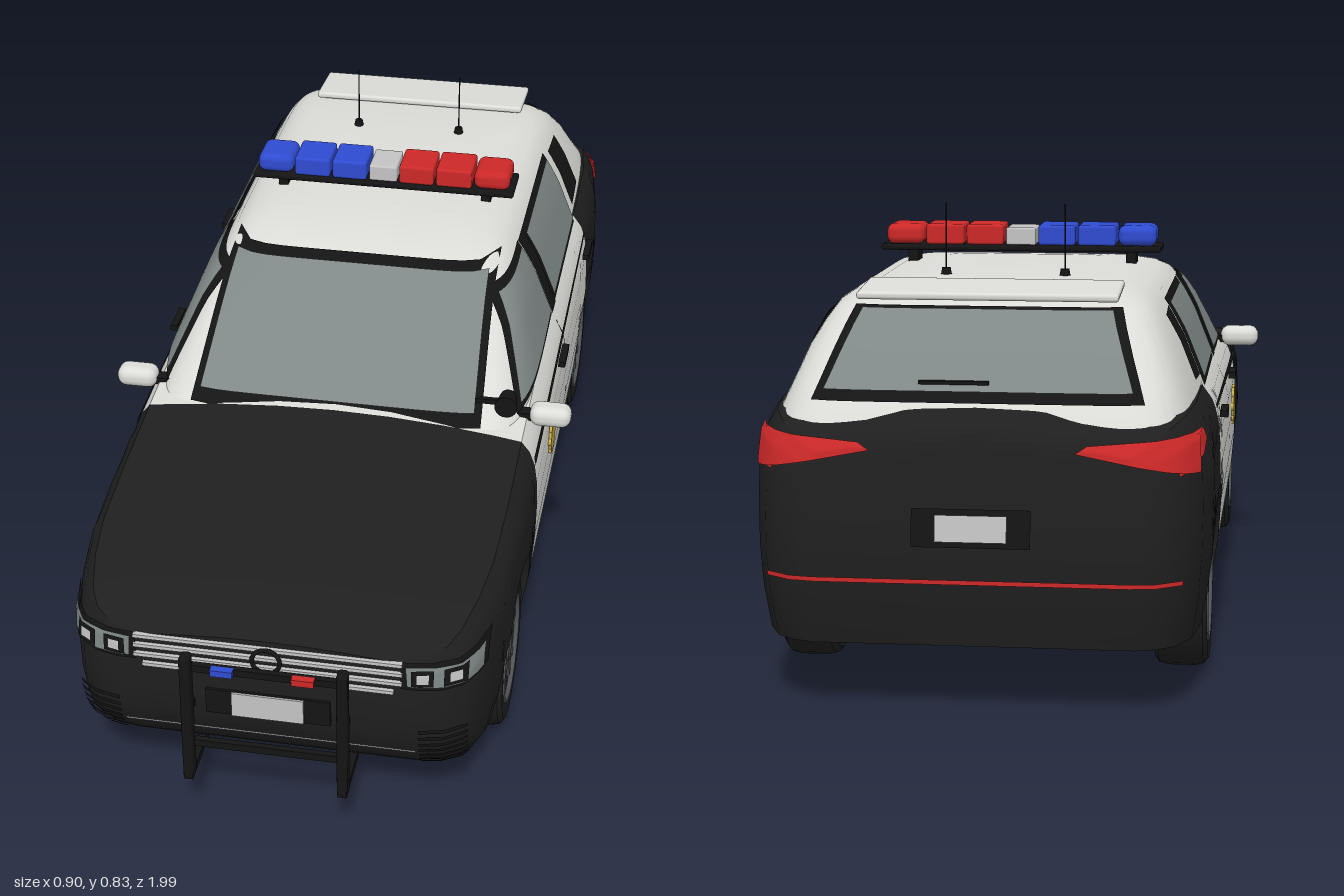
import * as THREE from 'three';
import { toCreasedNormals } from 'three/addons/utils/BufferGeometryUtils.js';
import { RoundedBoxGeometry } from 'three/addons/geometries/RoundedBoxGeometry.js';

const mat = (name, color) => new THREE.MeshStandardMaterial({ name, color, side: THREE.DoubleSide });
const M = {
  black: mat('black paint', 0x1f1f1f), white: mat('white paint', 0xdcdcd8), trim: mat('dark trim', 0x141414),
  glass: mat('glass', 0x7f8787), blue: mat('blue lens', 0x2f4bd0), red: mat('red lens', 0xcc2828),
  gold: mat('gold badge', 0xc9ad48), silver: mat('silver', 0xc4c4c4), rim: mat('wheel grey', 0x505357),
};

// piecewise-linear table lookup: rows are [key, value, value...], keys ascending
const look = (rows, k, col = 1) => {
  if (k <= rows[0][0]) return rows[0][col];
  for (let i = 1; i < rows.length; i++) if (k <= rows[i][0]) {
    const a = rows[i - 1], b = rows[i];
    return a[col] + (b[col] - a[col]) * (k - a[0]) / (b[0] - a[0]);
  }
  return rows[rows.length - 1][col];
};

// lower body: z, half width, shoulder height, centre height
const BODY = [[-.985, .29, .45, .47], [-.97, .33, .475, .5], [-.94, .36, .49, .52], [-.88, .385, .505, .53],
  [-.75, .4, .51, .53], [-.5, .402, .505, .515], [.2, .402, .485, .51], [.35, .402, .475, .505], [.55, .402, .455, .475],
  [.7, .398, .442, .46], [.8, .385, .432, .45], [.88, .365, .42, .435], [.92, .345, .41, .425], [.945, .31, .395, .41], [.955, .27, .385, .4]];
const FLANK = [[0, .95], [.2, .98], [.5, 1], [.8, .99], [.92, .965], [1, .91]];
const BASE = .12, ARCH = .178, AXLES = [-.59, .57];

function bodyHalf(z, y) {
  const w = look(BODY, z), s = look(BODY, z, 2), d = look(BODY, z, 3);
  if (y <= s) return w * look(FLANK, (y - BASE) / (s - BASE));
  return w * .91 * Math.sqrt(Math.max(0, 1 - (y - s) / (d - s)));
}
// chin tucks back at the front, tailgate leans forward at the rear
function lean(x, y, z) {
  if (z > .76) z -= .065 * Math.max(0, (.24 - y) / .12) ** 2 * (z - .76) / .195;
  if (z < -.78) z += (Math.max(0, y - .3) * .12 + Math.max(0, .22 - y) * .2) * (-.78 - z) / .2;
  return [x, y, z];
}
// cabin: y, front z, rear z, half width
const CABIN = [[.46, .4, -.95, .375], [.5, .335, -.935, .365], [.55, .26, -.885, .345], [.6, .185, -.84, .325],
  [.64, .12, -.795, .303], [.67, .055, -.745, .283], [.685, 0, -.69, .26], [.695, -.06, -.62, .228], [.7, -.13, -.5, .16], [.702, -.27, -.36, 0]];
const cabinAt = (y) => {
  const f = look(CABIN, y), r = look(CABIN, y, 2);
  return { c: (f + r) / 2, l: (f - r) / 2, w: look(CABIN, y, 3) };
};
const round8 = (u) => Math.max(0, 1 - Math.min(1, Math.abs(u)) ** 8) ** .125;

// surface mappers: (u, v, offset) -> point
const bodySide = (s) => (z, y, e) => lean(s * (bodyHalf(z, y) + e), y, z);
const bodyEnd = (dir) => (x, y, e) => {
  let a = 0, b = dir > 0 ? .955 : -.985;
  if (bodyHalf(b, y) < Math.abs(x)) {
    for (let i = 0; i < 30; i++) { const m = (a + b) / 2; if (bodyHalf(m, y) > Math.abs(x)) a = m; else b = m; }
  }
  const p = lean(x, y, b);
  return [p[0] + e * x / .4, y, p[2] + e * dir];
};
const cabinSide = (s) => (z, y, e) => { const k = cabinAt(y); return [s * (k.w * round8((z - k.c) / k.l) + e), y + e * .4, z]; };
const cabinEnd = (dir) => (x, y, e) => { const k = cabinAt(y); return [x, y + e * .7, k.c + dir * (k.l * round8(x / k.w) + e)]; };

// loft through rings; colourOf(i, j) returns a material index
function loft(rings, mats, colourOf) {
  const n = rings[0].length, lists = mats.map(() => []);
  for (let i = 0; i < rings.length - 1; i++) for (let j = 0; j < n; j++) {
    const a = i * n + j, b = i * n + (j + 1) % n;
    lists[colourOf(i, j)].push(a, b, b + n, a, b + n, a + n);
  }
  const g = new THREE.BufferGeometry();
  g.setAttribute('position', new THREE.Float32BufferAttribute(rings.flat(2), 3));
  g.setIndex(lists.flat());
  let at = 0;
  lists.forEach((l, k) => { g.addGroup(at, l.length, k); at += l.length; });
  return new THREE.Mesh(toCreasedNormals(g, .6), mats);
}

export function createModel() {
  const car = new THREE.Group();
  car.name = 'patrolCar';
  const put = (name, geo, m, x = 0, y = 0, z = 0, parent = car) => {
    const o = new THREE.Mesh(geo, m);
    o.name = name; o.position.set(x, y, z); parent.add(o);
    return o;
  };
  const box = (name, m, w, h, d, x, y, z, parent) => put(name, new THREE.BoxGeometry(w, h, d), m, x, y, z, parent);
  // thin plate that follows a surface; corners run bottom, bottom, top, top
  const plate = (name, m, map, [p, q, r, s], e = .004) => {
    const g = new THREE.PlaneGeometry(1, 1, 16, 10), pos = g.attributes.position;
    for (let i = 0; i < pos.count; i++) {
      const u = pos.getX(i) + .5, v = pos.getY(i) + .5;
      const c = [0, 1].map((k) => (p[k] * (1 - u) + q[k] * u) * (1 - v) + (s[k] * (1 - u) + r[k] * u) * v);
      pos.setXYZ(i, ...map(c[0], c[1], e));
    }
    g.computeVertexNormals();
    return put(name, g, m);
  };
  const rect = (u0, u1, v0, v1) => [[u0, v0], [u1, v0], [u1, v1], [u0, v1]];

  // lower body with wheel wells
  const stations = BODY.map((r) => r[0]).concat([-.53, -.3, -.1, .1, .355]);
  for (const c of AXLES) {
    stations.push(c - ARCH - .001, c + ARCH + .001);
    for (let k = 0; k <= 16; k++) stations.push(c - ARCH * Math.cos(k * Math.PI / 16));
  }
  stations.sort((a, b) => a - b);
  const rows = [0, .06, .2, .4, .6, .75, .86, .94, 1], tops = [.85, .6, .3, 0];
  const rings = stations.map((z) => {
    let b = BASE;
    for (const c of AXLES) if (Math.abs(z - c) <= ARCH + .0001) b = .15 + Math.sqrt(Math.max(0, ARCH ** 2 - (z - c) ** 2));
    const s = look(BODY, z, 2), d = look(BODY, z, 3), xs = bodyHalf(z, s);
    const half = [[0, BASE], [.26, BASE], [.26, b]];
    for (const t of rows) { const y = b + (s - b) * t; half.push([bodyHalf(z, y), y]); }
    for (const t of tops) half.push([xs * t, s + (d - s) * (1 - t * t)]);
    const back = half.slice(1, -1).reverse().map(([x, y]) => [-x, y]);
    return half.concat(back).map(([x, y]) => lean(x, y, z));
  });
  const flat = (ring) => ring.map(([, y, z]) => [0, y, z]);
  const n = rings[0].length, all = [flat(rings[0]), ...rings, flat(rings[rings.length - 1])];
  const body = loft(all, [M.black, M.white], (i, j) => {
    if (i < 1 || i >= stations.length) return 0;
    const z = (stations[i - 1] + stations[i]) / 2, k = Math.min(j, n - 1 - j);
    if (k === 0) return z > -.41 && z < .39 ? 1 : 0;
    return k >= 4 && z > -.53 && z < .355 ? 1 : 0;
  });
  body.name = 'lowerBody'; car.add(body);

  // cabin shell
  const cabin = loft(CABIN.map(([y]) => {
    const { c, l, w } = cabinAt(y), pw = (v) => Math.sign(v) * Math.abs(v) ** .25;
    return Array.from({ length: 96 }, (_, j) => {
      const a = j / 96 * Math.PI * 2;
      return [w * pw(Math.cos(a)), y, c - l * pw(Math.sin(a))];
    });
  }), [M.white], () => 0);
  cabin.name = 'cabin'; car.add(cabin);

  // windscreen and rear window
  plate('windscreenFrame', M.trim, cabinEnd(1), [[-.285, .488], [.285, .488], [.268, .676], [-.268, .676]]);
  plate('windscreen', M.glass, cabinEnd(1), [[-.27, .505], [.27, .505], [.255, .667], [-.255, .667]], .008);
  plate('rearWindowFrame', M.trim, cabinEnd(-1), [[-.285, .525], [.285, .525], [.235, .67], [-.235, .67]]);
  plate('rearWindow', M.glass, cabinEnd(-1), [[-.265, .54], [.265, .54], [.22, .664], [-.22, .664]], .008);
  box('rearWiper', M.trim, .12, .006, .01, .04, .56, -.895);

  for (const s of [1, -1]) {
    // side windows and pillars
    const cs = cabinSide(s), bs = bodySide(s);
    plate('frontWindowFrame', M.trim, cs, [[.285, .49], [-.1, .5], [-.1, .662], [.085, .652]]);
    plate('frontWindow', M.glass, cs, [[.262, .5], [-.09, .51], [-.09, .652], [.085, .642]], .008);
    plate('centrePillar', M.trim, cs, rect(-.098, -.15, .5, .662), .006);
    plate('rearWindowSideFrame', M.trim, cs, rect(-.14, -.512, .5, .66));
    plate('rearSideWindow', M.glass, cs, rect(-.155, -.5, .512, .65), .008);
    plate('quarterWindow', M.trim, cs, [[-.54, .525], [-.645, .53], [-.635, .645], [-.54, .65]], .006);
    // door details
    plate('doorSeam', M.trim, bs, rect(-.108, -.113, .145, .48), .002);
    plate('beltLine', M.trim, bs, [[.355, .425], [-.53, .462], [-.53, .47], [.355, .44]], .002);
    for (const z of [-.02, -.48]) box('doorHandle', M.trim, .014, .012, .075, s * .405, .45, z);
    const badge = put('doorBadge', new THREE.CylinderGeometry(.037, .037, .006, 16), M.gold, s * .403, .36, .135);
    badge.rotation.z = Math.PI / 2;
    for (let k = 0; k < 8; k++) {
      const a = k * Math.PI / 4;
      const tip = put('badgeTip', new THREE.CylinderGeometry(.008, .008, .006, 10), M.gold, s * .403, .36 + .034 * Math.sin(a), .135 + .034 * Math.cos(a));
      tip.rotation.z = Math.PI / 2;
    }
    // mirrors
    box('mirrorStem', M.trim, .06, .015, .025, s * .375, .482, .265);
    put('mirror', new RoundedBoxGeometry(.08, .042, .05, 4, .019), M.white, s * .411, .488, .268);
    // headlights, intakes and tail lights
    const f = bodyEnd(1), r = bodyEnd(-1), X = (pts) => pts.map(([x, y]) => [s * x, y]);
    plate('headlightSurround', M.trim, f, X([[.235, .334], [.372, .332], [.374, .388], [.235, .39]]), .003);
    plate('headlight', M.glass, f, X([[.245, .342], [.366, .34], [.366, .38], [.242, .384]]), .006);
    for (const x of [.27, .325]) {
      plate('lampSurround', M.trim, f, X(rect(x - .019, x + .019, .345, .378)), .008);
      plate('lamp', M.silver, f, X(rect(x - .01, x + .01, .352, .371)), .0095);
    }
    for (let k = 0; k < 7; k++) plate('intakeSlat', M.trim, f, X(rect(.265, .345, .145 + k * .016, .153 + k * .016)), .007);
    plate('tailLightRear', M.red, r, X([[.17, .455], [.375, .415], [.372, .482], [.19, .468]]), .006);
    plate('tailLightSide', M.red, bs, [[-.825, .462], [-.955, .415], [-.955, .468], [-.84, .482]], .006);
    // roof aerials
    put('aerialBase', new THREE.CylinderGeometry(.008, .01, .012, 12), M.trim, s * .11, .706, -.5);
    put('aerial', new THREE.CylinderGeometry(.0015, .0015, .125, 6), M.trim, s * .11, .768, -.5);
    // push bar uprights
    put('pushBarUpright', new RoundedBoxGeometry(.02, .27, .028, 2, .006), M.trim, s * .14, .24, .985);
    box('pushBarFoot', M.trim, .016, .014, .12, s * .14, .112, .938);
    box('pushBarBracket', M.trim, .014, .014, .05, s * .14, .25, .96);
  }

  // grille, plates and bumper lines
  for (let k = 0; k < 4; k++) {
    const w = k ? .24 : .225;
    box('grilleBar', M.silver, w * 2, .007, .012, 0, .326 + k * .02, .957);
  }
  plate('bumperLine', M.silver, bodyEnd(1), rect(-.26, .26, .187, .193), .006);
  put('grilleRing', new THREE.TorusGeometry(.025, .004, 8, 24), M.trim, 0, .365, .966);
  box('frontPlateHolder', M.trim, .225, .052, .006, 0, .259, .957);
  box('frontPlate', M.silver, .13, .05, .006, 0, .259, .961);
  plate('rearPlateHolder', M.trim, bodyEnd(-1), rect(-.1, .1, .295, .36), .003);
  plate('rearPlate', M.silver, bodyEnd(-1), rect(-.06, .06, .305, .35), .006);
  plate('rearReflector', M.red, bodyEnd(-1), rect(-.35, .35, .232, .24), .005);
  // push bar cross members and their small lamps
  for (const y of [.345, .178]) box('pushBarCross', M.trim, .28, .014, .012, 0, y, .977);
  box('grilleLampBlue', M.blue, .04, .013, .014, -.075, .346, .985);
  box('grilleLampRed', M.red, .04, .013, .014, .07, .346, .985);

  // spotlight beside the left windscreen pillar
  box('spotlightArm', M.trim, .06, .01, .01, .3, .537, .318);
  const spot = put('spotlight', new THREE.CylinderGeometry(.022, .016, .04, 20), M.trim, .333, .546, .332);
  spot.rotation.x = Math.PI / 2;

  // roof spoiler
  const spoiler = put('spoiler', new RoundedBoxGeometry(.46, .014, .14, 3, .006), M.white, 0, .696, -.7);
  spoiler.rotation.x = -.08;

  // light bar
  const bar = new THREE.Group();
  bar.name = 'lightBar'; bar.position.set(0, 0, -.22); car.add(bar);
  put('lightBarBase', new RoundedBoxGeometry(.545, .012, .1, 2, .005), M.trim, 0, .725, 0, bar);
  for (const s of [1, -1]) {
    const m = s > 0 ? M.red : M.blue;
    box('lightBarFoot', M.trim, .02, .04, .05, s * .213, .705, 0, bar);
    put('innerLens', new RoundedBoxGeometry(.072, .04, .088, 3, .006), m, s * .07, .75, 0, bar);
    put('middleLens', new RoundedBoxGeometry(.074, .04, .088, 3, .006), m, s * .148, .75, 0, bar);
    put('endLens', new RoundedBoxGeometry(.074, .04, .088, 4, .015), m, s * .226, .75, 0, bar);
  }
  put('centreLens', new RoundedBoxGeometry(.058, .034, .08, 2, .004), M.silver, 0, .747, 0, bar);

  // wheels, outer face towards +x before turning
  const tyre = [[.098, -.046], [.135, -.048], [.146, -.04], [.15, -.024], [.15, .024], [.146, .04], [.135, .048], [.106, .046], [.102, .02], [.098, -.046]];
  for (const z of AXLES) for (const s of [1, -1]) {
    const w = new THREE.Group();
    w.name = (z > 0 ? 'front' : 'rear') + (s > 0 ? 'Left' : 'Right') + 'Wheel';
    w.position.set(s * .338, .15, z);
    if (s < 0) w.rotation.y = Math.PI;
    car.add(w);
    const disc = (name, m, r, h, x) => { put(name, new THREE.CylinderGeometry(r, r, h, 32), m, x, 0, 0, w).rotation.z = -Math.PI / 2; };
    const t = toCreasedNormals(new THREE.LatheGeometry(tyre.map(([r, h]) => new THREE.Vector2(r, h)), 40), .6);
    put('tyre', t, M.black, 0, 0, 0, w).rotation.z = -Math.PI / 2;
    put('rimRing', new THREE.TorusGeometry(.103, .005, 8, 40), M.rim, .044, 0, 0, w).rotation.y = Math.PI / 2;
    disc('wheelBack', M.trim, .101, .03, 0);
    disc('brakeDisc', M.silver, .075, .01, -.02);
    disc('hub', M.rim, .026, .03, .03);
    for (let k = 0; k < 10; k++) {
      const arm = new THREE.Group();
      arm.rotation.x = (Math.floor(k / 2) + (k % 2 ? .17 : -.17)) * Math.PI * 2 / 5;
      box('spoke', M.rim, .016, .09, .017, .034, .06, 0, arm);
      w.add(arm);
    }
  }
  return car;
}
